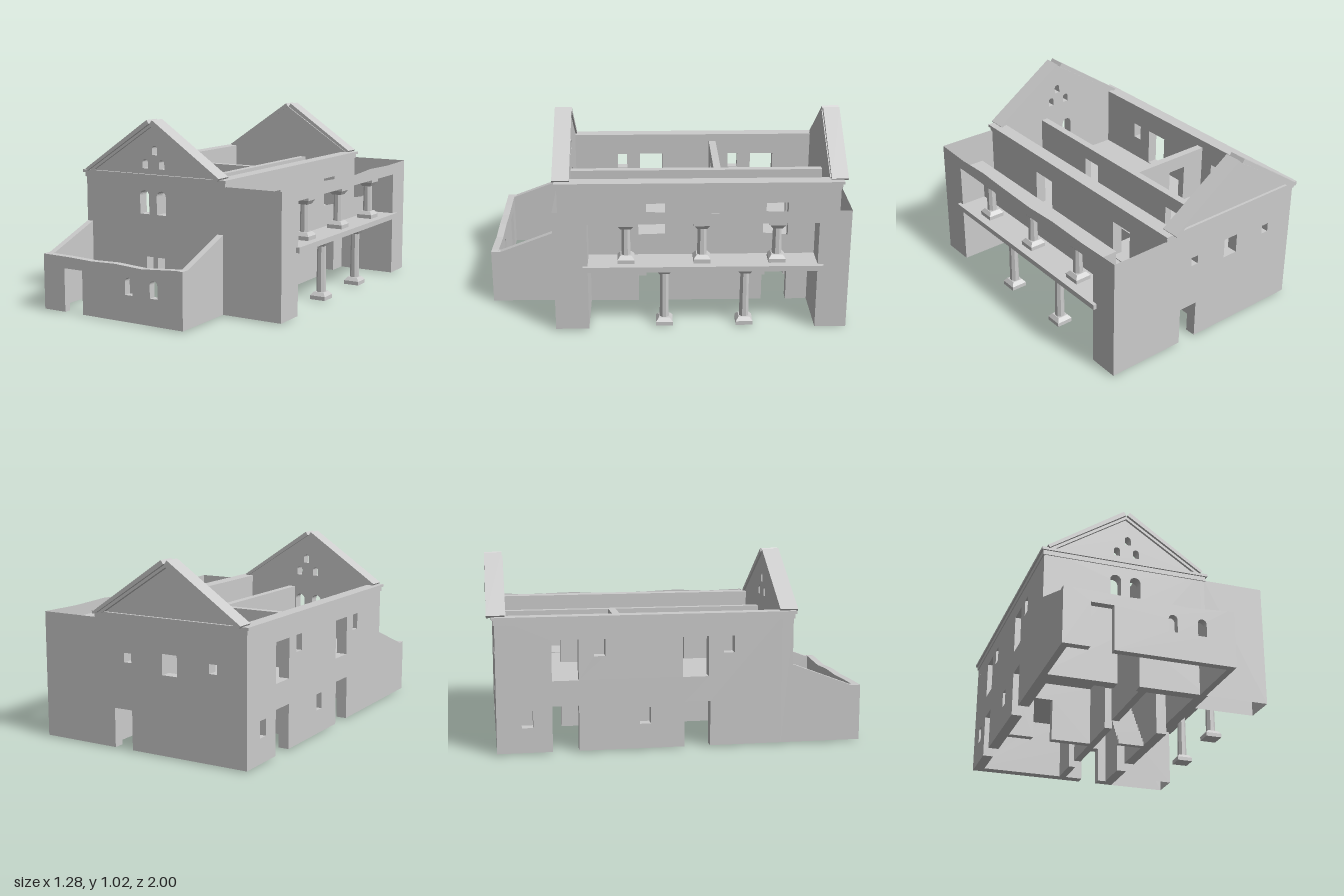
import * as THREE from 'three';

const mat = new THREE.MeshStandardMaterial({ color: 0xcccccc, flatShading: true, side: THREE.DoubleSide });

export function createModel() {
  const root = new THREE.Group();
  root.name = 'roofless house';

  const add = (name, geo, parent = root) => {
    const m = new THREE.Mesh(geo, mat);
    m.name = name;
    parent.add(m);
    return m;
  };
  const box = (name, x0, x1, y0, y1, z0, z1, parent) => {
    const m = add(name, new THREE.BoxGeometry(x1 - x0, y1 - y0, z1 - z0), parent);
    m.position.set((x0 + x1) / 2, (y0 + y1) / 2, (z0 + z1) / 2);
    return m;
  };

  // Wall outline: openings [u0, u1, y0, y1, arched] become holes, or notches when they reach the base.
  // top lists the upper edge from the u1 end to the u0 end.
  const wallGeo = (u0, u1, base, top, openings, thick) => {
    const s = new THREE.Shape();
    s.moveTo(u0, base);
    openings.filter(o => o[2] <= base).sort((a, b) => a[0] - b[0]).forEach(([a, b, , y]) => {
      s.lineTo(a, base); s.lineTo(a, y); s.lineTo(b, y); s.lineTo(b, base);
    });
    s.lineTo(u1, base);
    const edge = typeof top === 'number' ? [[u1, top], [u0, top]] : top;
    edge.forEach(p => s.lineTo(p[0], p[1]));
    s.closePath();
    openings.filter(o => o[2] > base).forEach(([a, b, y0, y1, arched]) => {
      const h = new THREE.Path(), r = (b - a) / 2;
      h.moveTo(a, y0);
      h.lineTo(b, y0);
      if (arched) {
        h.lineTo(b, y1 - r);
        h.absarc(a + r, y1 - r, r, 0, Math.PI, false);
      } else {
        h.lineTo(b, y1);
        h.lineTo(a, y1);
      }
      h.closePath();
      s.holes.push(h);
    });
    return thick
      ? new THREE.ExtrudeGeometry(s, { depth: thick, bevelEnabled: false, curveSegments: 6 })
      : new THREE.ShapeGeometry(s, 6);
  };
  // Wall running along x, its back at z
  const wallX = (name, x0, x1, base, top, z, thick, openings = []) => {
    add(name, wallGeo(x0, x1, base, top, openings, thick)).position.z = z;
  };
  // Wall running along z, its right face at x
  const wallZ = (name, z0, z1, base, top, x, thick, openings = []) => {
    const m = add(name, wallGeo(z0, z1, base, top, openings, thick));
    m.rotation.y = -Math.PI / 2;
    m.position.x = x;
  };

  const G = 0.007, F = 0.38, T = 0.06, AXIS = -0.175;
  const gableTop = [[0.28, 0.72], [0.25, 0.72], [AXIS, 1.0], [-0.6, 0.72], [-0.625, 0.72]];

  // Main house shell
  wallX('frontWall', -0.625, 0.28, G, gableTop, 0.56, T, [
    [-0.22, -0.1, G, 0.27],
    [-0.26, -0.2, 0.505, 0.635, true], [-0.15, -0.09, 0.505, 0.635, true],
    [-0.178, -0.144, 0.83, 0.88, true],
    [-0.24, -0.205, 0.755, 0.805, true], [-0.132, -0.098, 0.755, 0.805, true],
  ]);
  wallX('backWall', -0.625, 0.28, G, gableTop, -0.96, T, [
    [0.06, 0.17, G, 0.22],
    [-0.22, -0.13, 0.43, 0.54], [0.06, 0.105, 0.47, 0.52], [-0.455, -0.41, 0.47, 0.52],
  ]);
  wallZ('westWall', -0.9, 0.56, G, 0.7, -0.565, T, [
    [-0.67, -0.53, G, 0.25], [0.03, 0.17, G, 0.25],
    [-0.67, -0.53, 0.385, 0.6], [0.02, 0.16, 0.385, 0.6],
    [-0.45, -0.39, 0.51, 0.6], [0.24, 0.3, 0.51, 0.6],
    [-0.83, -0.77, 0.14, 0.23], [-0.21, -0.15, 0.14, 0.23],
  ]);
  wallZ('eastWall', -0.9, 0.56, G, 0.7, 0.28, T, [
    [-0.67, -0.53, G, 0.25], [0.02, 0.17, G, 0.25],
    [-0.67, -0.53, 0.385, 0.6], [0.02, 0.17, 0.385, 0.6],
  ]);

  // Stepped cornice around the wall heads
  [[0.685, 0.71, 0.006], [0.71, 0.725, 0.015]].forEach(([y0, y1, e]) => {
    const g = new THREE.Group();
    g.name = 'cornice';
    root.add(g);
    box('corniceWest', -0.625 - e, -0.565, y0, y1, -0.96 - e, 0.62 + e, g);
    box('corniceEast', 0.215, 0.28 + e, y0, y1, -0.96 - e, 0.62 + e, g);
    box('corniceFront', -0.565, 0.215, y0, y1, 0.56, 0.62 + e, g);
    box('corniceBack', -0.565, 0.215, y0, y1, -0.96 - e, -0.9, g);
  });

  // Raking bands on both gables, each a pair of slopes meeting in an open joint
  const rake = (name, pts, z0, z1) => [1, -1].forEach(side => {
    const s = new THREE.Shape(pts.map(([d, y]) => new THREE.Vector2(AXIS + side * d, y)));
    add(name, new THREE.ExtrudeGeometry(s, { depth: z1 - z0, bevelEnabled: false })).position.z = z0;
  });
  const outer = [[0.437, 0.733], [0.017, 1.02], [0.003, 1.0], [0.427, 0.72]];
  const inner = [[0.427, 0.72], [0.0, 1.0], [0.0, 0.983], [0.4, 0.72]];
  rake('gableCoping', outer, 0.55, 0.647);
  rake('gableCoping', outer, -1.0, -0.905);
  rake('gableMoulding', inner, 0.56, 0.634);
  rake('gableMoulding', inner, -0.985, -0.9);

  // Upper floor around the stair opening
  box('upperFloor', -0.6, 0.06, 0.35, F, -0.93, 0.59);
  box('upperFloorBack', 0.06, 0.25, 0.35, F, -0.93, -0.46);
  box('upperFloorFront', 0.06, 0.25, 0.35, F, -0.19, 0.59);

  // Inner partitions on both storeys
  [[G, 0.35, 0.25], [F, 0.68, 0.6]].forEach(([y0, y1, head]) => {
    wallZ('longPartition', -0.9, 0.56, y0, y1, -0.042, 0.042,
      [[-0.695, -0.585, y0, head], [0.005, 0.125, y0, head]]);
    wallX('crossPartition', -0.565, -0.084, y0, y1, -0.312, 0.042, [[-0.425, -0.315, y0, head]]);
  });

  // Staircase with a folded underside
  const steps = 13, run = 0.27 / steps, rise = F / steps;
  const st = new THREE.Shape();
  st.moveTo(-0.19, 0);
  for (let i = 0; i < steps; i++) {
    st.lineTo(-0.19 - i * run, (i + 1) * rise);
    st.lineTo(-0.19 - (i + 1) * run, (i + 1) * rise);
  }
  st.lineTo(-0.46, F - 0.05);
  st.lineTo(-0.225, 0);
  st.closePath();
  const stairs = add('stairs', new THREE.ExtrudeGeometry(st, { depth: 0.155, bevelEnabled: false }));
  stairs.rotation.y = -Math.PI / 2;
  stairs.position.x = 0.22;

  // Side wing: thin outer walls, open at the top
  const wave = [[0.62, 0.69], [0.4, 0.683], [0.2, 0.693], [0, 0.685], [-0.25, 0.679],
    [-0.45, 0.69], [-0.7, 0.684], [-0.96, 0.69]];
  wallX('wingFrontWall', 0.28, 0.62, G, 0.69, 0.62, 0);
  wallX('wingBackWall', 0.28, 0.62, G, 0.69, -0.96, 0);
  wallZ('wingOuterWall', -0.96, 0.62, G, wave, 0.62, 0, [[-0.79, 0.44, G, 0.62]]);
  [0.44, -0.79].forEach(z => {
    wallX('wingPierWall', 0.28, 0.62, G, F, z, 0);
    wallX('loggiaEndWall', 0.47, 0.62, F, 0.62, z, 0);
  });

  // Loggia: slab, broken back wall and ceiling strip
  box('balconySlab', 0.28, 0.64, 0.35, F, -0.82, 0.465);
  wallZ('loggiaBackWall', -0.79, 0.44, F, [[0.44, 0.505], [0.3, 0.495], [0.1, 0.5], [-0.1, 0.505],
    [-0.3, 0.495], [-0.5, 0.503], [-0.65, 0.49], [-0.79, 0.495]], 0.47, 0);
  const ceiling = add('loggiaCeiling', new THREE.PlaneGeometry(0.15, 1.23));
  ceiling.rotation.x = -Math.PI / 2;
  ceiling.position.set(0.545, 0.62, -0.175);

  // Columns with square bases and flared capitals
  const column = (z, y0, y1) => {
    const g = new THREE.Group();
    g.name = 'column';
    g.position.set(0.55, 0, z);
    root.add(g);
    const flare = (name, half0, half1, a, b) => {
      const m = add(name, new THREE.CylinderGeometry(half1 * Math.SQRT2, half0 * Math.SQRT2, b - a, 4), g);
      m.rotation.y = Math.PI / 4;
      m.position.y = (a + b) / 2;
    };
    flare('plinth', 0.046, 0.046, y0, y0 + 0.022);
    flare('baseTaper', 0.046, 0.03, y0 + 0.022, y0 + 0.042);
    const shaft = add('shaft', new THREE.CylinderGeometry(0.024, 0.027, y1 - y0 - 0.06, 8), g);
    shaft.rotation.y = Math.PI / 8;
    shaft.position.y = (y0 + y1) / 2;
    flare('capitalFlare', 0.027, 0.042, y1 - 0.04, y1 - 0.016);
    flare('abacus', 0.046, 0.046, y1 - 0.016, y1);
  };
  [0.235, -0.172, -0.575].forEach(z => column(z, F, 0.612));
  [0.03, -0.407].forEach(z => column(z, G, 0.349));

  // Walled forecourt with an uneven top edge
  wallX('courtFrontWall', -0.625, 0.27, G, [[0.27, 0.31], [0.235, 0.312], [0.14, 0.305], [0.02, 0.296],
    [-0.15, 0.306], [-0.3, 0.302], [-0.45, 0.308], [-0.59, 0.31], [-0.625, 0.31]], 0.96, 0.04, [
    [-0.485, -0.365, G, 0.245],
    [-0.085, -0.038, 0.15, 0.243, true], [0.07, 0.117, 0.15, 0.243, true],
  ]);
  [-0.59, 0.27].forEach(x => {
    wallZ('courtSideWall', 0.62, 0.96, G, [[0.96, 0.31], [0.95, 0.31], [0.62, 0.435]], x, 0.035);
  });

  return root;
}
